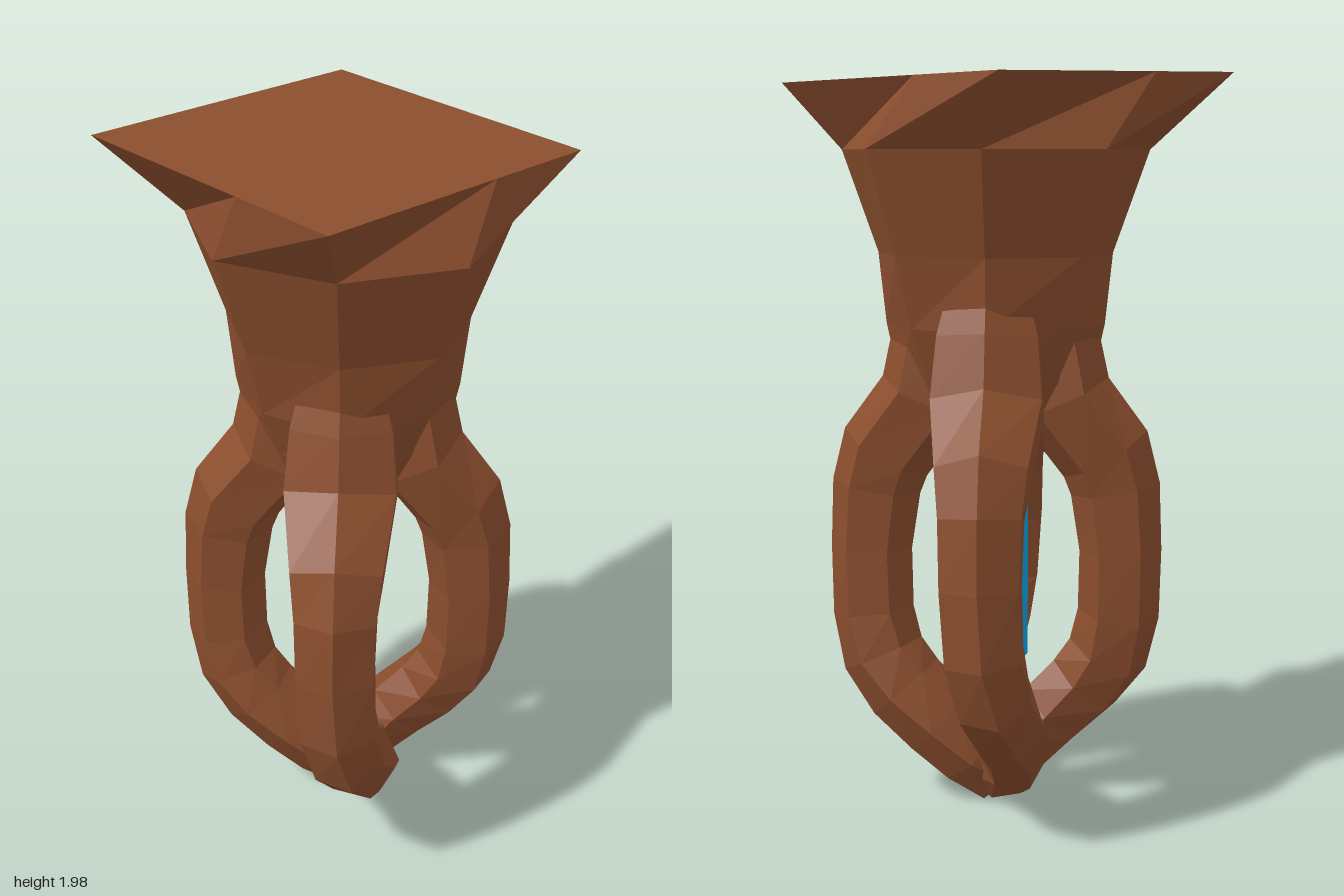
import * as THREE from 'three';

const V = (x, y, z) => new THREE.Vector3(x, y, z);
const RAD = Math.PI / 180;
const AXIS = { x: 0.03, z: 0.01 }; // slightly off-centre axis of trunk and roots

// Faceted skin over a list of rings, capped at both ends
function loft(rings) {
  const pos = [];
  const tri = (...pts) => pts.forEach((p) => pos.push(p.x, p.y, p.z));
  const middle = (ring) => ring.reduce((s, p) => s.add(p), V(0, 0, 0)).divideScalar(ring.length);
  const n = rings[0].length;
  const last = rings[rings.length - 1];
  const m0 = middle(rings[0]);
  const m1 = middle(last);
  for (let j = 0; j < n; j++) {
    const k = (j + 1) % n;
    for (let i = 0; i < rings.length - 1; i++) {
      const [a, b, c, d] = [rings[i][j], rings[i][k], rings[i + 1][j], rings[i + 1][k]];
      tri(a, b, d);
      tri(a, d, c);
    }
    tri(m0, rings[0][k], rings[0][j]);
    tri(m1, last[j], last[k]);
  }
  const geo = new THREE.BufferGeometry();
  geo.setAttribute('position', new THREE.Float32BufferAttribute(pos, 3));
  geo.computeVertexNormals();
  return geo;
}

// Trunk: tilted square top, then eight-sided rings [y, corner radius, side radius]
function trunkGeometry() {
  const corner = (j) => {
    const a = (15.6 + 90 * j) * RAD;
    const x = 0.595 * Math.cos(a);
    const z = 0.595 * Math.sin(a);
    return V(x, 1.987 - 0.025 * x + 0.008 * z, z);
  };
  const top = [];
  for (let j = 0; j < 4; j++) top.push(corner(j), corner(j).lerp(corner(j + 1), 0.36));
  const rows = [
    [1.8, 0.41, 0.425],
    [1.53, 0.315, 0.335],
    [1.34, 0.295, 0.285],
    [1.2, 0.265, 0.23],
    [1.08, 0.22, 0.18],
    [0.99, 0.14, 0.11],
  ];
  const rings = rows.map(([y, rc, rm]) => Array.from({ length: 8 }, (_, j) => {
    const a = (18 + 45 * j) * RAD;
    const r = j % 2 ? rm : rc;
    return V(AXIS.x + r * Math.cos(a), y, AXIS.z + r * Math.sin(a));
  }));
  return loft([top, ...rings]);
}

// Root path: [y, distance from axis, twist in degrees, depth, width]
const ROOT = [
  [1.5, 0.17, 0, 0.09, 0.1],
  [1.32, 0.195, 0, 0.125, 0.15],
  [1.14, 0.235, 0, 0.135, 0.165],
  [0.985, 0.385, 0, 0.13, 0.135],
  [0.89, 0.42, 0, 0.122, 0.12],
  [0.72, 0.44, 0, 0.112, 0.115],
  [0.54, 0.435, -1, 0.112, 0.112],
  [0.42, 0.4, -4, 0.115, 0.11],
  [0.33, 0.32, -9, 0.115, 0.105],
  [0.24, 0.205, -17, 0.112, 0.1],
  [0.155, 0.1, -30, 0.105, 0.095],
  [0.085, 0, -50, 0.1, 0.085],
];

function rootGeometry(angle, spread) {
  const out = ROOT.map(([, , tw]) => V(Math.cos((angle + tw) * RAD), 0, Math.sin((angle + tw) * RAD)));
  const path = ROOT.map(([y, r], i) => V(AXIS.x, y, AXIS.z).addScaledVector(out[i], r * spread));
  const rings = path.map((p, i) => {
    const t = path[Math.min(i + 1, path.length - 1)].clone().sub(path[Math.max(i - 1, 0)]).normalize();
    const u = out[i].clone().addScaledVector(t, -out[i].dot(t)).normalize();
    const v = t.clone().cross(u);
    return Array.from({ length: 6 }, (_, j) => {
      const a = 60 * j * RAD;
      return p.clone()
        .addScaledVector(u, ROOT[i][3] * Math.cos(a))
        .addScaledVector(v, ROOT[i][4] * Math.sin(a));
    });
  });
  return loft(rings);
}

// Crystal: square prism with pointed ends
function crystalGeometry() {
  const rows = [[0.97, 0.001], [0.9, 0.086], [0.43, 0.086], [0.34, 0.001]];
  return loft(rows.map(([y, r]) => Array.from({ length: 4 }, (_, j) => {
    const a = (26 + 90 * j) * RAD;
    return V(0.03 + r * Math.cos(a), y, -0.01 + r * Math.sin(a));
  })));
}

export function createModel() {
  const wood = new THREE.MeshStandardMaterial({ color: 0x8b4e2e });
  wood.name = 'bark brown';
  wood.flatShading = true;
  const blue = new THREE.MeshStandardMaterial({ color: 0x0ca5e2 });
  blue.name = 'crystal blue';
  blue.flatShading = true;

  const model = new THREE.Group();
  model.name = 'hangingRootLantern';
  const add = (geo, mat, name) => {
    const mesh = new THREE.Mesh(geo, mat);
    mesh.name = name;
    model.add(mesh);
  };

  add(trunkGeometry(), wood, 'trunk');
  // Four roots curl round the crystal; two of them reach out less
  ['leftRoot', 'frontRoot', 'rightRoot', 'backRoot'].forEach((name, k) => {
    add(rootGeometry(18 + 90 * k, k % 2 ? 1.03 : 0.78), wood, name);
  });
  add(crystalGeometry(), blue, 'crystal');
  return model;
}
